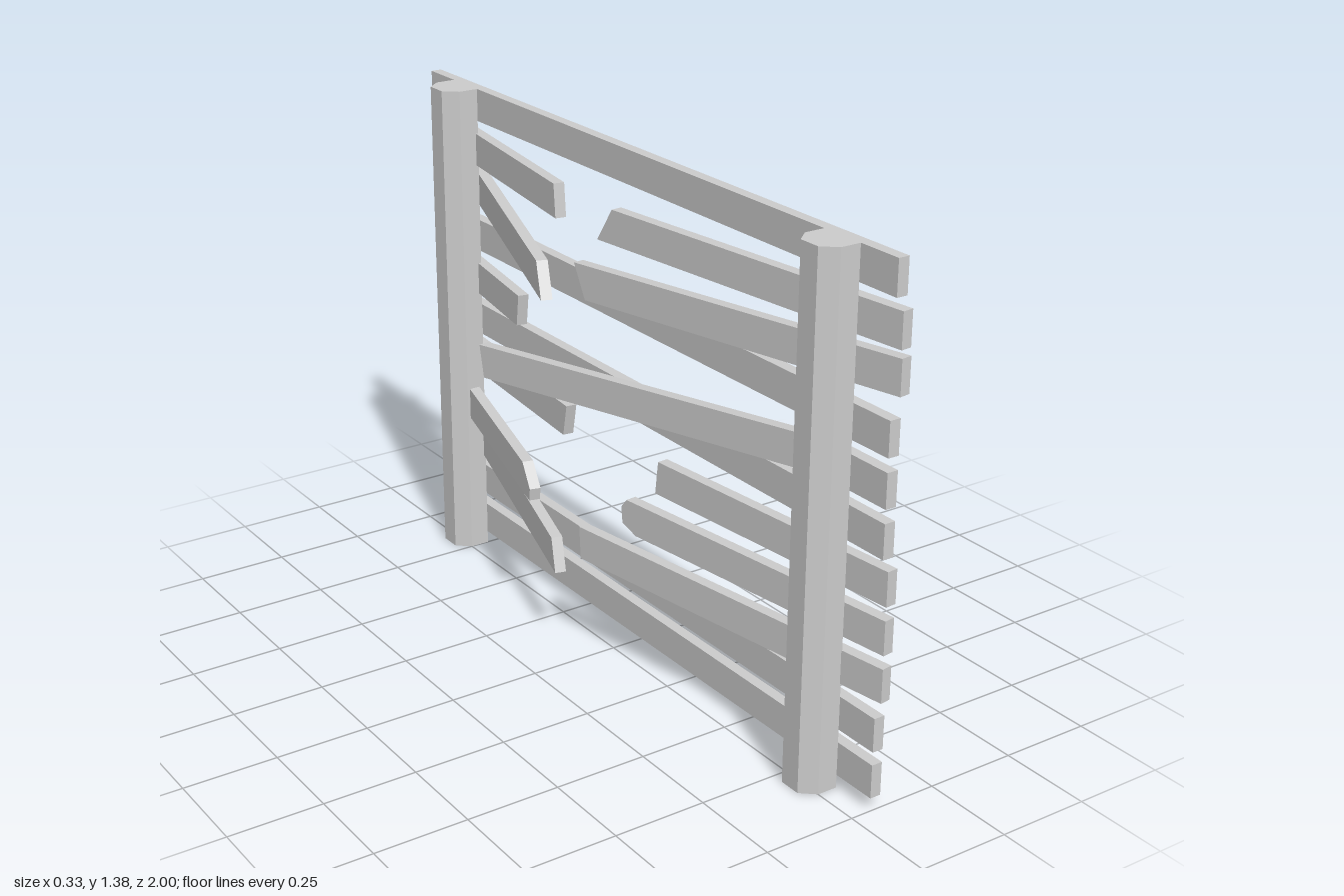
import * as THREE from 'three';

const material = new THREE.MeshStandardMaterial({ color: 0xcccccc, flatShading: true });
const T = 0.03;                               // board thickness
const H = 0.09;                               // board height
const X = 0.07;                               // centre plane of the sound boards
const rowHeight = (row) => 0.08 + 0.125 * row;

// Board from its outer end z0 to its snapped end z1. x0, x1 and y0, y1 are offsets of the
// centre line at both ends, slant skews the snapped end, and the chamfers [length, height]
// cut its corners.
function board(name, row, { z0, z1, x0 = X, x1 = X, y0 = 0, y1 = 0, slant = 0, topCut, bottomCut }) {
  const a = rowHeight(row) + y0;
  const b = rowHeight(row) + y1;
  const inward = Math.sign(z0 - z1);
  const shape = new THREE.Shape();
  const corner = (z, y, cut, up) => {
    if (!cut) return [[z, y]];
    return [[z + inward * cut[0], y], [z, y - up * cut[1]]];
  };
  const outline = [
    [z0, a - H / 2],
    ...corner(z1 - slant / 2, b - H / 2, bottomCut, -1),
    ...corner(z1 + slant / 2, b + H / 2, topCut, 1).reverse(),
    [z0, a + H / 2],
  ];
  shape.setFromPoints(outline.map(([z, y]) => new THREE.Vector2(-z, y)));
  const geo = new THREE.ExtrudeGeometry(shape, { depth: T, bevelEnabled: false });

  // Swing the board in plan along its centre line
  const k = (x1 - x0) / (z1 - z0);
  const n = Math.hypot(1, k);
  const p = geo.attributes.position;
  for (let i = 0; i < p.count; i++) {
    const z = -p.getX(i);
    const t = (p.getZ(i) - T / 2) / n;
    p.setXYZ(i, x0 + k * (z - z0) + t, p.getY(i), z - t * k);
  }
  geo.computeVertexNormals();
  const mesh = new THREE.Mesh(geo, material);
  mesh.name = name;
  return mesh;
}

// Post: octagon cut flat where the boards are fixed
function post(name, z) {
  const shape = new THREE.Shape();
  shape.moveTo(0.055, -0.0625).lineTo(0.055, 0.0625).lineTo(0, 0.0625);
  shape.lineTo(-0.0375, 0.03).lineTo(-0.0375, -0.03).lineTo(0, -0.0625);
  const geo = new THREE.ExtrudeGeometry(shape, { depth: 1.375, bevelEnabled: false });
  geo.rotateX(-Math.PI / 2);
  const mesh = new THREE.Mesh(geo, material);
  mesh.position.z = z;
  mesh.name = name;
  return mesh;
}

export function createModel() {
  const fence = new THREE.Group();
  fence.name = 'brokenFence';
  fence.add(post('frontPost', 0.8125), post('backPost', -0.8125));

  // Sound full-length boards
  for (const row of [0, 1, 5, 7, 10]) fence.add(board('fullBoard', row, { z0: 1, z1: -1 }));

  // Broken boards pushed in from both posts
  const front = (row, ends) => fence.add(board('frontBrokenBoard', row, { z0: 0.998, ...ends }));
  const back = (row, ends) => fence.add(board('backBrokenBoard', row, { z0: -0.99, ...ends }));

  front(9, { z1: 0.012, x0: 0.092, x1: -0.022, slant: 0.055 });
  back(9, { z1: -0.22, x0: 0.1, x1: -0.018, slant: -0.01 });

  front(8, { z1: -0.045, x0: 0.095, x1: -0.06, y0: 0.015, y1: -0.032, slant: -0.04 });
  back(8, { z0: -0.974, z1: -0.092, x0: 0.15, x1: -0.148, y0: 0.014, y1: -0.029, slant: -0.045 });

  back(6, { z1: -0.457, x0: 0.103, x1: 0.01, slant: 0.015 });

  front(4, { z1: 0.2, x0: 0.088, x1: 0.01, slant: 0.01 });
  back(4, { z1: -0.24, x0: 0.094, x1: 0.02, slant: 0.02 });

  front(3, { z1: 0.107, x0: 0.087, x1: -0.033, slant: -0.005, topCut: [0.02, 0.025], bottomCut: [0.05, 0.02] });
  back(3, { z0: -0.984, z1: -0.209, x0: 0.082, x1: -0.113, y0: 0.012, y1: -0.022, slant: 0.006, topCut: [0.06, 0.055] });

  front(2, { z1: -0.027, x0: 0.087, x1: -0.075, slant: -0.005 });

  // Long boards bent at the post: a fixed stub and a swung length
  const bent = (row, end, ends) => {
    fence.add(board('bentBoardStub', row, { z0: end, z1: end * 0.76 }));
    fence.add(board('bentBoard', row, { z0: end * 0.77, ...ends }));
  };
  bent(6, 1, { z1: -0.387, x1: -0.15, y1: -0.088, slant: -0.015 });
  bent(2, -1, { z1: -0.095, x1: -0.112, y1: -0.058, slant: -0.03 });

  return fence;
}
